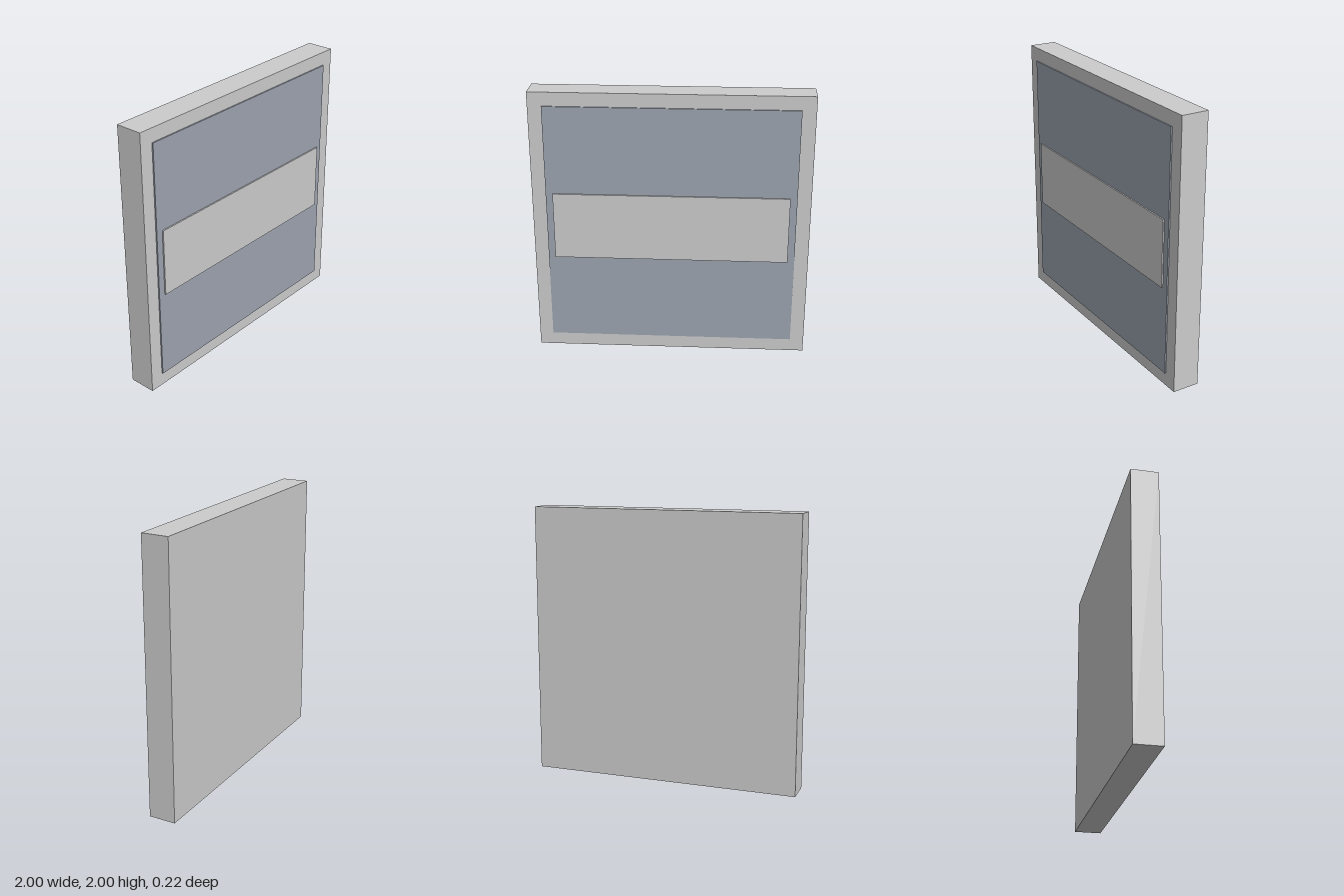
import * as THREE from 'three';

const BACK = -0.11;

export function createModel() {
  const model = new THREE.Group();
  model.name = 'wallSign';

  const grey = new THREE.MeshStandardMaterial({ color: 0xcccccc });
  const slate = new THREE.MeshStandardMaterial({ color: 0x9ca3af });

  // Adds a plate centred on x = 0, y = 1, spanning z from back to front
  function addPlate(name, width, height, back, front, material) {
    const depth = front - back;
    const mesh = new THREE.Mesh(new THREE.BoxGeometry(width, height, depth), material);
    mesh.name = name;
    mesh.position.set(0, 1, back + depth / 2);
    model.add(mesh);
  }

  // Thick backing board
  addPlate('backingBoard', 2, 2, BACK, 0.09, grey);
  // Thin coloured panel on the front of the board
  addPlate('facePanel', 1.8, 1.8, 0.09, 0.1, slate);
  // Raised horizontal bar across the panel
  addPlate('centreBar', 1.7, 0.5, 0.1, 0.11, grey);

  return model;
}
